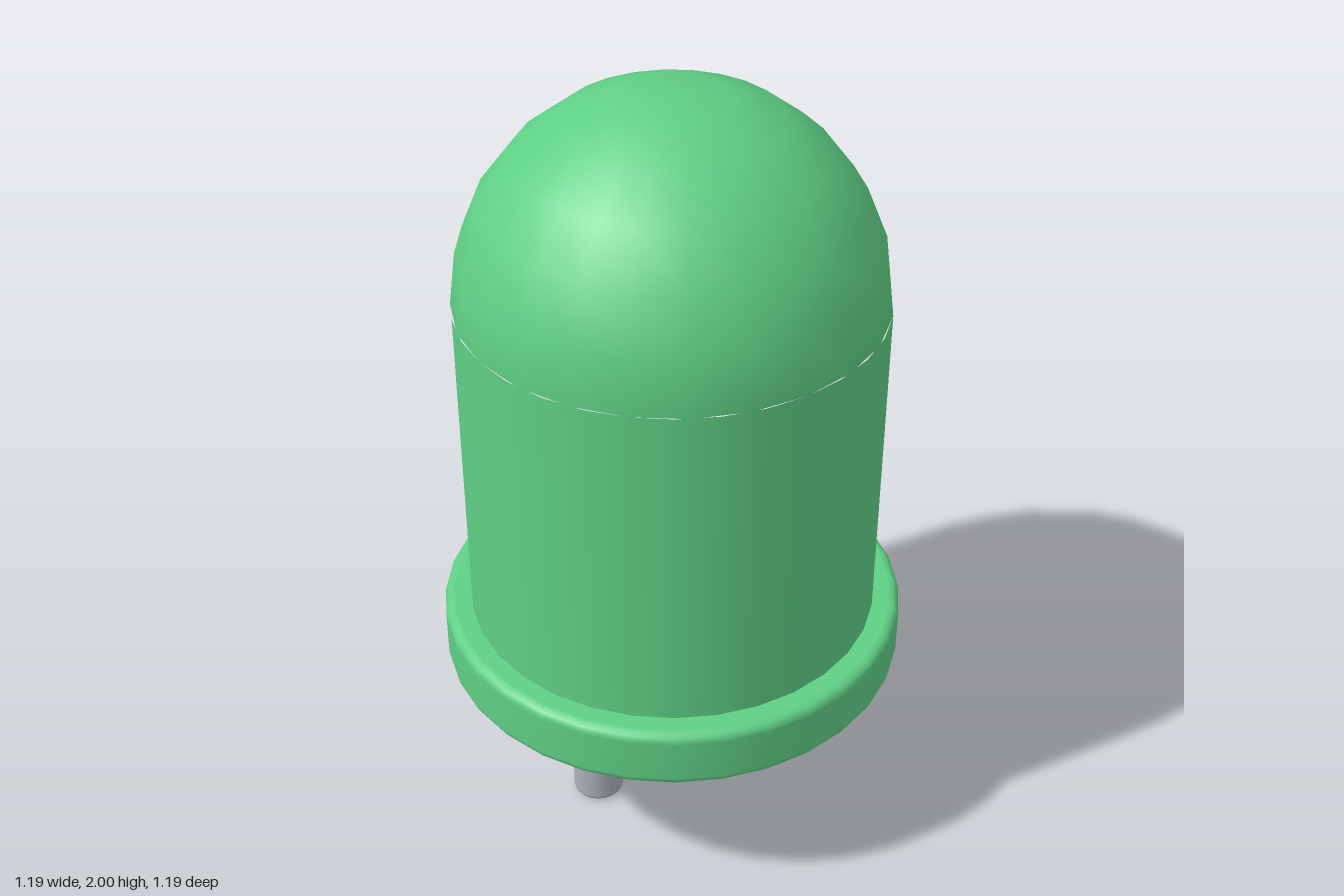
import * as THREE from 'three';

const green = new THREE.MeshStandardMaterial({ color: 0x5fcf85 });
const metal = new THREE.MeshStandardMaterial({ color: 0xa9b1b8 });

// Closed disc or pin turned around y, with rounded rims of radius b
function roundedCylinder(r, y0, y1, b, segments) {
  const pts = [new THREE.Vector2(0, y0), new THREE.Vector2(r - b - 0.002, y0)];
  const steps = 4;
  for (const [cy, start] of [[y0 + b, -Math.PI / 2], [y1 - b, 0]]) {
    for (let i = 0; i <= steps; i++) {
      const a = start + (i / steps) * Math.PI / 2;
      pts.push(new THREE.Vector2(r - b + b * Math.cos(a), cy + b * Math.sin(a)));
    }
  }
  pts.push(new THREE.Vector2(r - b - 0.002, y1), new THREE.Vector2(0, y1));
  return new THREE.LatheGeometry(pts, segments);
}

export function createModel() {
  const group = new THREE.Group();
  const add = (name, geometry, material, x = 0, y = 0) => {
    const mesh = new THREE.Mesh(geometry, material);
    mesh.name = name;
    mesh.position.set(x, y, 0);
    group.add(mesh);
  };

  const lensRadius = 0.525, domeBase = 1.47, flangeTop = 0.6, flangeBottom = 0.44;

  // Lens: straight body with a hemispherical dome
  const height = domeBase - flangeTop + 0.02;
  add('lensBody', new THREE.CylinderGeometry(lensRadius, lensRadius, height, 32, 1, true),
    green, 0, domeBase - height / 2);
  const dome = new THREE.SphereGeometry(lensRadius, 24, 6, 0, Math.PI * 2, 0, Math.PI / 2);
  dome.scale(1, (2 - domeBase) / lensRadius, 1);
  add('lensDome', dome, green, 0, domeBase);

  // Base flange with softened rims
  add('flange', roundedCylinder(0.595, flangeBottom, flangeTop, 0.025, 32), green);

  // Two leads of different length
  add('longLead', roundedCylinder(0.067, 0, flangeBottom + 0.05, 0.016, 20), metal, -0.243);
  add('shortLead', roundedCylinder(0.067, 0.125, flangeBottom + 0.05, 0.016, 20), metal, 0.243);

  return group;
}
